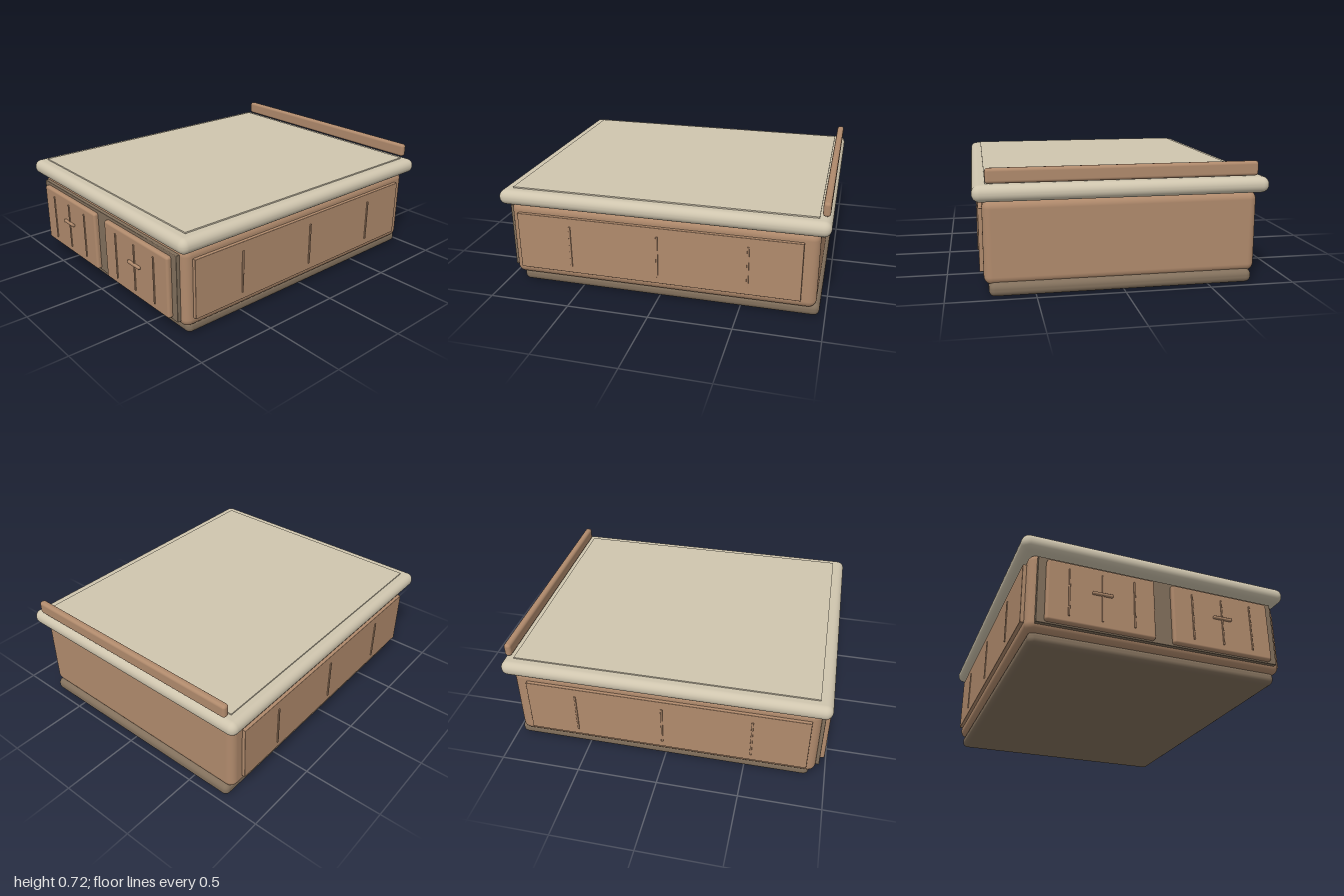
import * as THREE from 'three';
import { RoundedBoxGeometry } from 'three/addons/geometries/RoundedBoxGeometry.js';

function material(name, color) {
  const m = new THREE.MeshStandardMaterial({ color });
  m.name = name;
  return m;
}

export function createModel() {
  const wood = material('wood', 0xb08a6c);
  const darkWood = material('darkWood', 0x82705c);
  const stone = material('stone', 0xcfc5ae);

  const model = new THREE.Group();
  model.name = 'counterCabinet';

  // Rounded block given by its extents on each axis
  function block(name, mat, [x0, x1], [y0, y1], [z0, z1], radius, parent = model) {
    const w = x1 - x0, h = y1 - y0, d = z1 - z0;
    const geometry = radius
      ? new RoundedBoxGeometry(w, h, d, 4, radius)
      : new THREE.BoxGeometry(w, h, d);
    const mesh = new THREE.Mesh(geometry, mat);
    mesh.name = name;
    mesh.position.set((x0 + x1) / 2, (y0 + y1) / 2, (z0 + z1) / 2);
    parent.add(mesh);
    return mesh;
  }

  // Main stack: plinth, body, worktop with raised inset, back rail
  block('plinth', darkWood, [-0.76, 0.76], [0, 0.08], [-0.965, 0.9], 0.035);
  block('body', wood, [-0.785, 0.785], [0.06, 0.54], [-0.945, 0.935], 0.048);
  block('worktop', stone, [-0.838, 0.838], [0.537, 0.63], [-1, 0.988], 0.045);
  block('worktopInset', stone, [-0.765, 0.765], [0.62, 0.638], [-0.928, 0.912], 0);
  block('backRail', wood, [-0.765, 0.765], [0.638, 0.722], [-0.985, -0.942], 0.018);

  // Front frame
  block('frontFrame', darkWood, [-0.74, 0.74], [0.097, 0.505], [0.92, 0.957], 0.004);

  // Two doors, each with three battens and a bar handle
  for (const side of [-1, 1]) {
    const door = new THREE.Group();
    door.name = side > 0 ? 'leftDoor' : 'rightDoor';
    door.position.x = side * 0.375;
    model.add(door);
    block('doorPanel', wood, [-0.32, 0.32], [0.107, 0.485], [0.945, 0.985], 0.015, door);
    for (const x of [-0.192, 0, 0.192]) {
      block('doorBatten', wood, [x - 0.005, x + 0.005], [0.15, 0.443], [0.975, 0.991], 0.002, door);
    }
    block('doorHandle', wood, [-0.06, 0.06], [0.31, 0.328], [0.975, 1], 0.006, door);
  }

  // Side panels with three battens each
  for (const side of [-1, 1]) {
    const panel = new THREE.Group();
    panel.name = side > 0 ? 'leftSide' : 'rightSide';
    panel.position.x = side * 0.795;
    model.add(panel);
    block('sidePanel', wood, [-0.012, 0.012], [0.12, 0.483], [-0.858, 0.882], 0.003, panel);
    for (const z of [-0.548, -0.005, 0.543]) {
      const x = side * 0.01;
      block('sideBatten', wood, [x - 0.008, x + 0.008], [0.163, 0.428], [z - 0.006, z + 0.006], 0.002, panel);
    }
  }

  return model;
}
